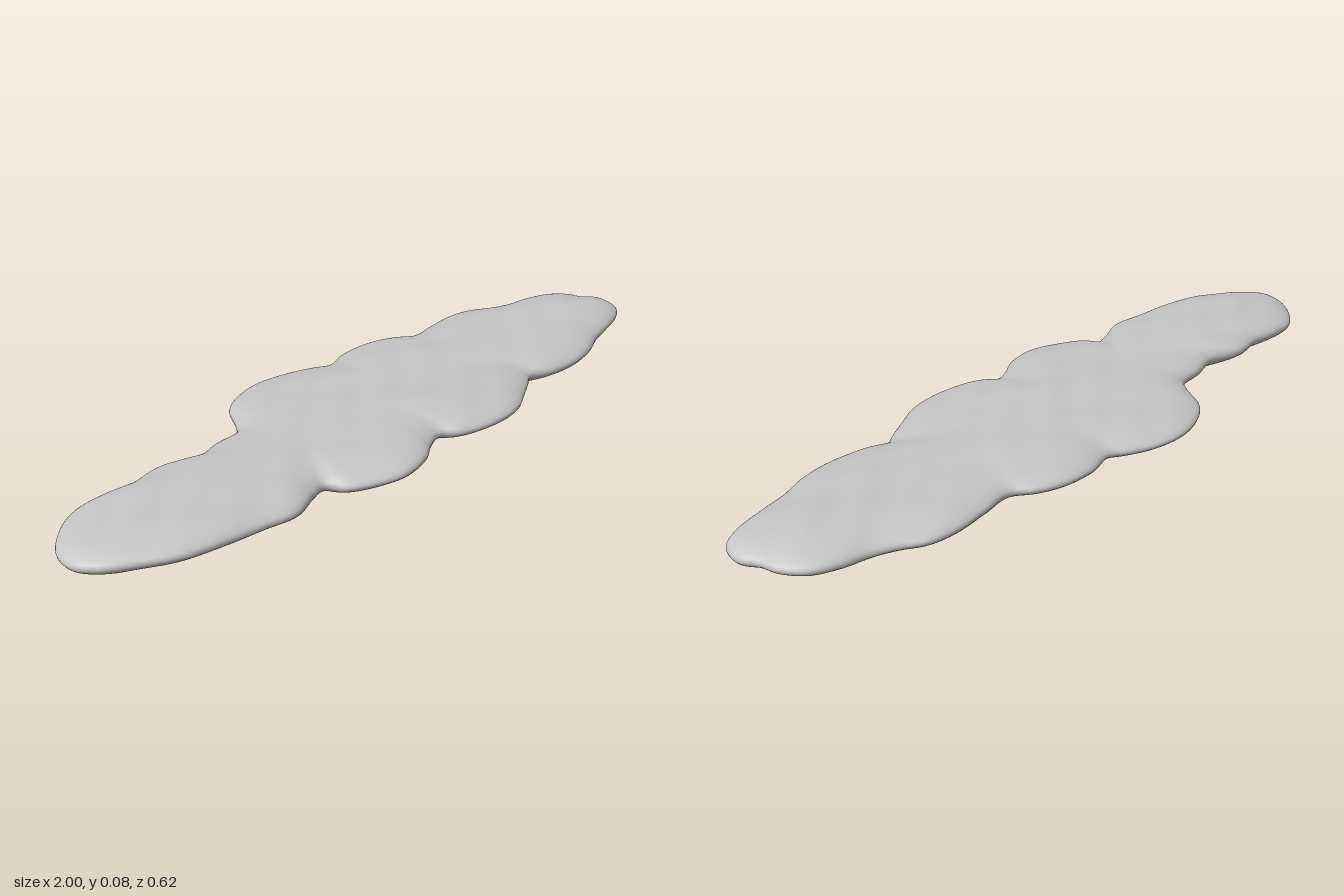
import * as THREE from 'three';

// Cloud outline as x, z pairs: along the back left to right, then the front right to left
const OUTLINE = [
  -1, .04, -.985, -.025, -.92, -.095, -.85, -.135, -.77, -.14, -.69, -.13, -.6, -.142, -.5, -.112,
  -.42, -.13, -.335, -.14, -.295, -.18, -.245, -.25, -.18, -.29, -.09, -.312, .005, -.3, .075, -.27,
  .118, -.245, .205, -.265, .3, -.26, .37, -.232, .417, -.195, .51, -.205, .61, -.213, .685, -.2,
  .74, -.165, .8, -.14, .87, -.125, .935, -.095, .973, -.04, .98, .005, 1, .05, .98, .11,
  .93, .145, .835, .172, .755, .19, .675, .22, .58, .235, .49, .225, .42, .2, .37, .225,
  .3, .26, .235, .29, .15, .302, .06, .29, .015, .27, -.02, .24, -.075, .255, -.14, .29,
  -.235, .305, -.315, .28, -.37, .245, -.395, .2, -.44, .208, -.53, .24, -.62, .228, -.72, .214,
  -.825, .19, -.91, .14, -.973, .09,
];

// Soft, uneven relief, roughly -1 to 1
function relief(x, z) {
  return 0.35 * Math.sin(9 * x + 4 * z + 1) + 0.3 * Math.sin(23 * z - 13 * x)
    + 0.2 * Math.sin(31 * x + 2 * Math.sin(27 * z)) + 0.15 * Math.sin(47 * z + 38 * x);
}

// Closed shell: rows run from the underside's middle, round the rim, to the top's middle
function cloudGeometry(segments = 420, rows = 24) {
  const points = [];
  for (let i = 0; i < OUTLINE.length; i += 2) points.push(new THREE.Vector3(OUTLINE[i], 0, OUTLINE[i + 1]));
  const curve = new THREE.CatmullRomCurve3(points, true, 'centripetal');
  const rim = curve.getSpacedPoints(segments).slice(0, segments);

  const position = [], index = [];
  for (let k = -rows; k <= rows; k++) {
    const inward = Math.pow(Math.abs(k) / rows, 1.6);
    const height = 0.039 * Math.pow(1 - Math.pow(1 - inward, 2.6), 0.5);
    for (const p of rim) {
      const x = THREE.MathUtils.lerp(p.x, p.x * 0.78, inward);
      const z = THREE.MathUtils.lerp(p.z, 0.025, inward);
      const bump = relief(x + (k < 0 ? 3 : 0), z);
      const wobble = 0.003 * Math.sin(7 * p.x + 5 * p.z) * (1 - inward);
      position.push(x, 0.045 + wobble + Math.sign(k) * height * (1 + 0.09 * bump), z);
    }
  }
  for (let r = 0; r < 2 * rows; r++) {
    for (let j = 0; j < segments; j++) {
      const next = (j + 1) % segments;
      const a = r * segments + j, b = r * segments + next;
      const c = a + segments, d = b + segments;
      index.push(a, c, b, b, c, d);
    }
  }
  const geometry = new THREE.BufferGeometry();
  geometry.setAttribute('position', new THREE.Float32BufferAttribute(position, 3));
  geometry.setIndex(index);
  geometry.computeVertexNormals();
  return geometry;
}

export function createModel() {
  const group = new THREE.Group();
  group.name = 'flatCloud';
  const paleGrey = new THREE.MeshStandardMaterial({ color: 0xc6c6c6 });
  paleGrey.name = 'paleGrey';
  const cloud = new THREE.Mesh(cloudGeometry(), paleGrey);
  cloud.name = 'cloudBody';
  group.add(cloud);
  return group;
}
